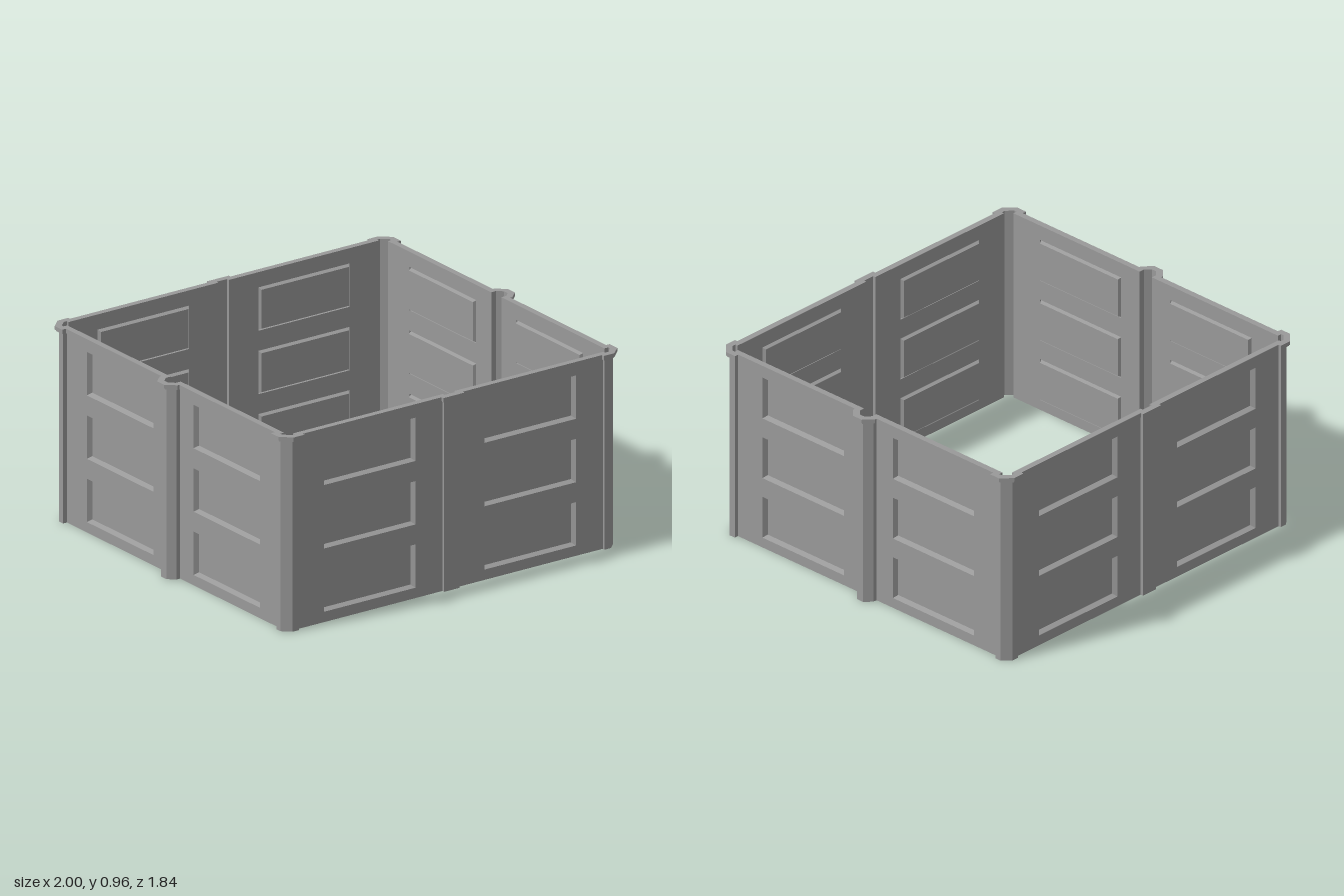
import * as THREE from 'three';

const T = 0.013;          // wall thickness
const WALL_H = 0.945;     // wall height
const TOP = 0.965;        // top of the coping

// One quarter of the outer footprint, from the +x pilaster round the corner to the +z pilaster
const QUARTER = [
  [0.98, 0.02], [0.945, 0.052], [0.925, 0.052],
  [0.925, 0.833], [0.946, 0.833], [0.946, 0.866], [0.906, 0.904], [0.87, 0.904],
  [0.87, 0.89], [0.043, 0.89], [0.043, 0.904],
];

// Mirror the quarter into the whole counter-clockwise outline
function fullOutline() {
  const pts = [];
  [[1, 1], [-1, 1], [-1, -1], [1, -1]].forEach(([sx, sy]) => {
    const q = QUARTER.map(([x, y]) => new THREE.Vector2(x * sx, y * sy));
    pts.push(...(sx * sy > 0 ? q : q.reverse()));
  });
  return pts;
}

// Mitred offset of a closed outline (positive is outward)
function offset(pts, d) {
  const n = pts.length;
  const normal = (a, b) => new THREE.Vector2(b.y - a.y, a.x - b.x).normalize();
  return pts.map((p, i) => {
    const n1 = normal(pts[(i + n - 1) % n], p);
    const n2 = normal(p, pts[(i + 1) % n]);
    return n1.clone().add(n2).multiplyScalar(d / (1 + n1.dot(n2))).add(p);
  });
}

// Stand a footprint up between two heights
function upright(shape, y0, y1) {
  const g = new THREE.ExtrudeGeometry(shape, { depth: y1 - y0, bevelEnabled: false });
  return g.rotateX(-Math.PI / 2).translate(0, y0, 0);
}

function rectPoints(cx, cy, hw, hh) {
  return [[-hw, -hh], [hw, -hh], [hw, hh], [-hw, hh]].map(([x, y]) => new THREE.Vector2(cx + x, cy + y));
}

// Recessed tray with sloping sides and a flat floor
function trayGeometry(hw, hh, slope, depth) {
  const pos = [];
  rectPoints(0, 0, hw, hh).forEach((p) => pos.push(p.x, p.y, 0));
  rectPoints(0, 0, hw - slope, hh - slope).forEach((p) => pos.push(p.x, p.y, -depth));
  const index = [4, 5, 6, 4, 6, 7];
  for (let i = 0; i < 4; i++) {
    const j = (i + 1) % 4;
    index.push(i, j, j + 4, i, j + 4, i + 4);
  }
  const g = new THREE.BufferGeometry();
  g.setAttribute('position', new THREE.Float32BufferAttribute(pos, 3));
  g.setIndex(index);
  const flat = g.toNonIndexed();
  flat.computeVertexNormals();
  return flat;
}

export function createModel() {
  const model = new THREE.Group();
  model.name = 'panelledEnclosure';
  const grey = new THREE.MeshStandardMaterial({ color: 0x999999, side: THREE.DoubleSide });
  grey.name = 'stoneGrey';

  const add = (parent, name, geometry) => {
    const mesh = new THREE.Mesh(geometry, grey);
    mesh.name = name;
    parent.add(mesh);
    return mesh;
  };

  const outer = fullOutline();
  const inner = offset(outer, -T);
  const count = outer.length;

  // Hollow pilasters, as runs of the outline
  const pilasters = [
    ['cornerPilaster', 3, 8], ['cornerPilaster', 13, 18], ['cornerPilaster', 25, 30], ['cornerPilaster', 35, 40],
    ['endPilaster', 9, 12], ['endPilaster', 31, 34],
    ['sidePilaster', 19, 24], ['sidePilaster', 41, 46],
  ];
  pilasters.forEach(([name, from, to]) => {
    const a = [], b = [];
    for (let i = from; i <= to; i++) {
      a.push(outer[i % count]);
      b.unshift(inner[i % count]);
    }
    add(model, name, upright(new THREE.Shape([...a, ...b]), 0, WALL_H));
  });

  // Flat walls, each pierced by three panels
  const rows = [0.158, 0.47, 0.783];
  const HW = 0.26, HH = 0.107;
  const tray = trayGeometry(HW, HH, 0.011, 0.024);
  function addWall(name, start, end, panelX, distance, angle, side) {
    const wall = new THREE.Group();
    wall.name = name;
    const mid = side * (start + end) / 2;
    const shape = new THREE.Shape(rectPoints(mid, WALL_H / 2, (end - start) / 2, WALL_H / 2));
    rows.forEach((y) => shape.holes.push(new THREE.Path(rectPoints(side * panelX, y, HW, HH).reverse())));
    const slab = new THREE.ExtrudeGeometry(shape, { depth: T, bevelEnabled: false }).translate(0, 0, -T);
    add(wall, 'wallSlab', slab);
    rows.forEach((y) => add(wall, 'recessedPanel', tray).position.set(side * panelX, y, 0));
    wall.rotation.y = angle;
    wall.position.set(Math.sin(angle) * distance, 0, Math.cos(angle) * distance);
    model.add(wall);
  }
  for (const side of [-1, 1]) {
    addWall('frontWall', 0.043 - T, 0.87 + T, 0.457, 0.89, 0, side);
    addWall('backWall', 0.043 - T, 0.87 + T, 0.457, 0.89, Math.PI, side);
    addWall('leftWall', 0.052 - T, 0.833 + T, 0.417, 0.925, Math.PI / 2, side);
    addWall('rightWall', 0.052 - T, 0.833 + T, 0.417, 0.925, -Math.PI / 2, side);
  }

  // Coping that overhangs the outside, with a narrower lower step
  [['copingStep', 0.013, 0.94, 0.947], ['coping', 0.018, 0.947, TOP]].forEach(([name, out, y0, y1]) => {
    const ring = new THREE.Shape(offset(outer, out));
    ring.holes.push(new THREE.Path([...inner].reverse()));
    add(model, name, upright(ring, y0, y1));
  });

  return model;
}
